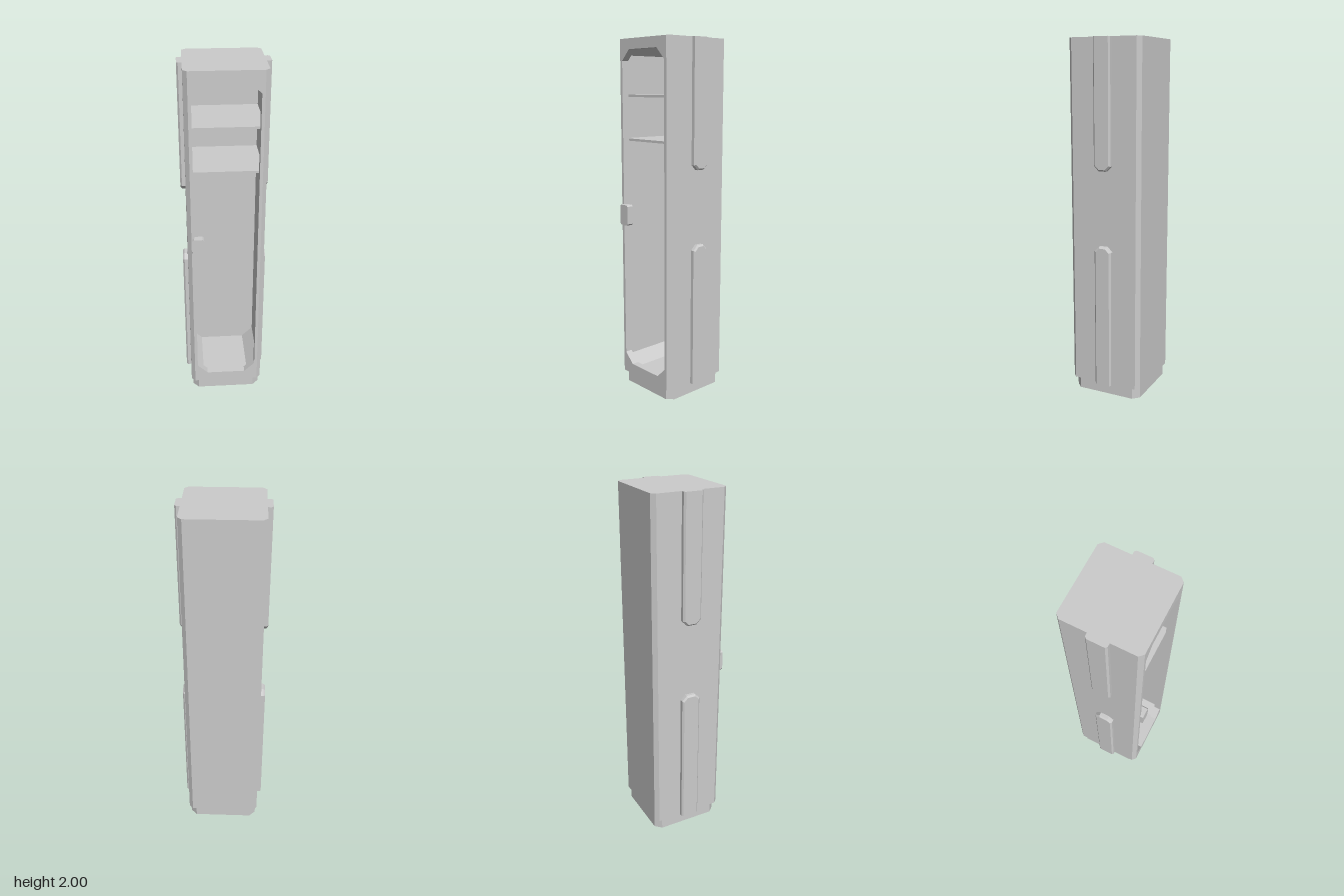
import * as THREE from 'three';

const material = new THREE.MeshStandardMaterial({ color: 0xcccccc, flatShading: true });

// Rectangle in (u, v), counter-clockwise, with corners cut by lo at the low-u end and hi at the high-u end
function cutRect(u0, u1, v0, v1, lo, hi = lo) {
  const low = lo ? [[u0, v1 - lo], [u0, v0 + lo]] : [];
  const high = hi ? [[u1, v0 + hi], [u1, v1 - hi]] : [];
  return [
    ...low, [u0 + lo, v0], [u1 - hi, v0], ...high, [u1 - hi, v1], [u0 + lo, v1],
  ];
}

// Ways of standing a (u, v) outline up along an axis at distance w
const alongX = (u, v, w) => [w, u, v];
const alongY = (u, v, w) => [v, w, u];
const alongZ = (u, v, w) => [u, v, w];

// Joins outlines [points, w] into a faceted solid; skip leaves out one side
function loft(name, rings, place, { start = true, skip = -1 } = {}) {
  const pos = [];
  const r = rings.map(([pts, w]) => pts.map(([u, v]) => place(u, v, w)));
  const tri = (a, b, c) => pos.push(...a, ...b, ...c);
  const n = r[0].length;
  for (let k = 0; k < r.length - 1; k++) {
    for (let i = 0; i < n; i++) {
      if (i === skip) continue;
      const j = (i + 1) % n;
      tri(r[k][i], r[k][j], r[k + 1][j]);
      tri(r[k][i], r[k + 1][j], r[k + 1][i]);
    }
  }
  const last = r[r.length - 1];
  for (let i = 1; i < n - 1; i++) {
    if (start) tri(r[0][0], r[0][i + 1], r[0][i]);
    tri(last[0], last[i], last[i + 1]);
  }
  const geo = new THREE.BufferGeometry();
  geo.setAttribute('position', new THREE.Float32BufferAttribute(pos, 3));
  geo.computeVertexNormals();
  const mesh = new THREE.Mesh(geo, material);
  mesh.name = name;
  return mesh;
}

// Raised strip on a side wall, with one cut end and a bevelled rim
function sideRib(name, y0, y1, z0, z1, cutLow) {
  const c = 0.028, b = 0.009;
  const outline = (d) => cutLow
    ? cutRect(y0 + d, y1, z0 + d, z1 - d, c - d * 0.6, 0)
    : cutRect(y0, y1 - d, z0 + d, z1 - d, 0, c - d * 0.6);
  return loft(name, [[outline(0), 0.2], [outline(0), 0.24 - b], [outline(b), 0.24]], alongX, { start: false });
}

export function createModel() {
  const model = new THREE.Group();
  const bottom = 0.065, top = 2, front = 0.203, back = -0.222, half = 0.212, cut = 0.022;

  // Plinth
  const base = cutRect(-0.213, 0.19, -0.203, 0.203, 0.035);
  model.add(loft('base', [[base, 0], [base, bottom]], alongY));

  // Cabinet shell, open at the front (side 4 of the outline)
  const shell = cutRect(back, front, -half, half, cut);
  model.add(loft('cabinetShell', [[shell, bottom], [shell, top]], alongY, { skip: 4 }));

  // Front frame around the opening
  const opening = cutRect(-0.173, 0.173, 0.125, 1.943, 0.06);
  const w = half - cut;
  const toV2 = (pts) => pts.map(([x, y]) => new THREE.Vector2(x, y));
  const frameShape = new THREE.Shape(toV2([[-w, bottom], [w, bottom], [w, top], [-w, top]]));
  frameShape.holes.push(new THREE.Path(toV2(opening)));
  const frame = new THREE.Mesh(new THREE.ShapeGeometry(frameShape), material);
  frame.position.z = front;
  frame.name = 'frontFrame';
  model.add(frame);

  // Interior: a lip at the opening, then a wider compartment and its back panel
  const lip = 0.162, inner = -0.188, innerHalf = 0.2;
  const room = cutRect(-innerHalf, innerHalf, 0.087, 1.98, 0.065);
  const interiorRings = [[opening, front], [opening, lip], [room, lip], [room, inner]];
  model.add(loft('interior', interiorRings, alongZ, { start: false }));

  // Shelves
  for (const y of [1.451, 1.694]) {
    const shelf = new THREE.Mesh(new THREE.BoxGeometry(innerHalf * 2, 0.013, lip - inner), material);
    shelf.position.set(0, y, (lip + inner) / 2);
    shelf.name = 'shelf';
    model.add(shelf);
  }

  // Side ribs, upper and lower on each wall
  const sides = [['left', 0, -0.06, 0.04], ['right', Math.PI, -0.048, 0.061]];
  for (const [side, turn, z0, z1] of sides) {
    const ribs = new THREE.Group();
    ribs.name = side + 'Ribs';
    ribs.add(sideRib('upperRib', 1.3, top, z0, z1, true));
    ribs.add(sideRib('lowerRib', bottom, 0.882, z0, z1, false));
    ribs.rotation.y = turn;
    model.add(ribs);
  }

  // Latch on the front frame
  const latch = cutRect(-0.185, -0.121, 0.967, 1.084, 0.008);
  model.add(loft('latch', [[latch, front - 0.02], [latch, 0.222]], alongZ));

  return model;
}
